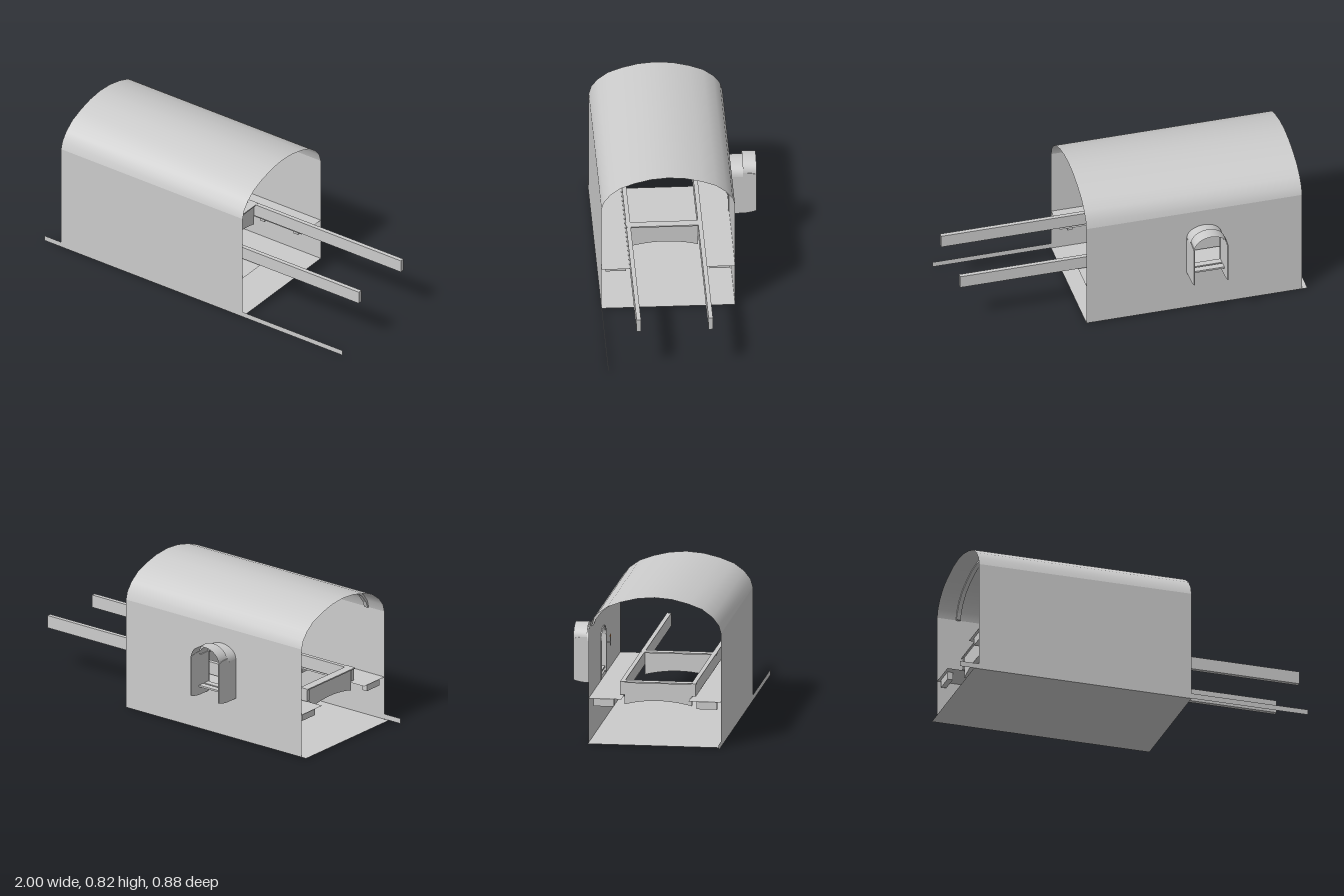
import * as THREE from 'three';

const grey = new THREE.MeshStandardMaterial({ color: 0xcccccc, side: THREE.DoubleSide });
const flame = new THREE.MeshStandardMaterial({ color: 0xd08030 });

export function createModel() {
  const model = new THREE.Group();

  function add(name, geometry, material = grey) {
    const mesh = new THREE.Mesh(geometry, material);
    mesh.name = name;
    model.add(mesh);
    return mesh;
  }

  // box given by its limits on each axis
  function box(name, x0, x1, y0, y1, z0, z1) {
    const g = new THREE.BoxGeometry(x1 - x0, y1 - y0, z1 - z0);
    return add(name, g.translate((x0 + x1) / 2, (y0 + y1) / 2, (z0 + z1) / 2));
  }

  // open sheet: a profile of [a, y] points swept between two positions
  function sheet(name, profile, from, to, place) {
    const g = new THREE.PlaneGeometry(1, 1, 1, profile.length - 1);
    const pos = g.attributes.position;
    profile.forEach(([a, y], i) => {
      pos.setXYZ(2 * i, ...place(a, y, from));
      pos.setXYZ(2 * i + 1, ...place(a, y, to));
    });
    g.computeVertexNormals();
    return add(name, g);
  }
  const alongX = (z, y, x) => [x, y, z];
  const alongZ = (x, y, z) => [x, y, z];

  // solid from a [z, y] outline, extruded along x
  function slab(name, shape, x0, x1) {
    const g = new THREE.ExtrudeGeometry(shape, { depth: x1 - x0, bevelEnabled: false, curveSegments: 10 });
    return add(name, g.rotateY(Math.PI / 2).translate(x0, 0, 0));
  }
  const outline = (pts) => new THREE.Shape(pts.map(([z, y]) => new THREE.Vector2(-z, y)));

  const X0 = -0.89, X1 = 0.33, BACK = -0.295, FRONT = 0.435, MID = 0.07;

  // barrel vault, as half widths and heights
  const half = [[0.365, 0.63], [0.352, 0.675], [0.317, 0.72], [0.26, 0.762], [0.185, 0.79], [0.095, 0.812]];
  const arc = [...half, [0, 0.82], ...half.map(([a, y]) => [-a, y]).reverse()];
  const vault = arc.map(([a, y]) => [MID + a, y]);
  sheet('roofVault', vault, X0, X1, alongX);

  // roof ribs under the vault
  const ribOuter = arc.map(([a, y]) => [MID + a * 0.996, y - 0.002]);
  const ribInner = arc.map(([a, y]) => [MID + a * 0.97, y <= 0.63 ? y : y - 0.011]).reverse();
  for (const x of [-0.77, 0.12]) slab('roofRib', outline([...ribOuter, ...ribInner]), x - 0.012, x + 0.012);

  // floor, front wall and the long strip at its foot
  add('floor', new THREE.PlaneGeometry(X1 + 0.92, FRONT - BACK).rotateX(-Math.PI / 2)
    .translate((X1 - 0.92) / 2, 0, MID));
  add('frontWall', new THREE.PlaneGeometry(X1 - X0, 0.63).translate((X0 + X1) / 2, 0.315, FRONT));
  add('footStrip', new THREE.PlaneGeometry(2, 0.03).translate(0, 0.015, FRONT + 0.001));

  // back wall with an arched opening
  const WX = -0.335;
  const wall = new THREE.Shape();
  wall.moveTo(X0, 0).lineTo(X1, 0).lineTo(X1, 0.63).lineTo(X0, 0.63).closePath();
  const hole = new THREE.Path();
  hole.moveTo(WX - 0.09, 0.27).lineTo(WX - 0.09, 0.465);
  hole.absellipse(WX, 0.465, 0.09, 0.07, Math.PI, 0, true);
  hole.lineTo(WX + 0.09, 0.27).closePath();
  wall.holes.push(hole);
  add('backWall', new THREE.ShapeGeometry(wall, 16).translate(0, 0, BACK));

  // arched window bay: inner tunnel, raised hood, side cheeks and sill
  function arch(rx, ry, spring) {
    return Array.from({ length: 17 }, (_, i) => {
      const t = (Math.PI * i) / 16;
      return [WX + rx * Math.cos(t), spring + ry * Math.sin(t)];
    });
  }
  sheet('windowTunnel', arch(0.098, 0.07, 0.465), BACK + 0.006, -0.372, alongZ);
  sheet('windowHood', arch(0.095, 0.075, 0.48), -0.37, -0.445, alongZ);
  const cheek = new THREE.Shape();
  cheek.moveTo(0.295, 0.235).lineTo(0.37, 0.235).quadraticCurveTo(0.41, 0.237, 0.445, 0.25);
  cheek.lineTo(0.445, 0.48).quadraticCurveTo(0.41, 0.49, 0.37, 0.49).lineTo(0.37, 0.467);
  cheek.lineTo(0.295, 0.467).closePath();
  for (const s of [-1, 1]) {
    slab('windowCheek', cheek, WX + s * 0.095 - 0.003, WX + s * 0.095 + 0.003);
    box('windowJamb', WX + s * 0.095 - 0.006, WX + s * 0.095 + 0.006, 0.257, 0.47, BACK, BACK + 0.007);
  }
  for (const z of [-0.315, -0.36]) box('windowSill', WX - 0.094, WX + 0.094, 0.282, 0.292, z - 0.018, z + 0.018);

  // long shafts passing through the body
  for (const z of [-0.123, 0.27]) box('shaft', -0.8, 1, 0.255, 0.327, z - 0.012, z + 0.012);

  // arched cross bolsters with thin caps
  const bolster = new THREE.Shape();
  bolster.moveTo(-0.26, 0.2).quadraticCurveTo(-MID, 0.248, 0.11, 0.2);
  bolster.lineTo(0.11, 0.322).lineTo(-0.26, 0.322).closePath();
  for (const x of [-0.78, 0]) {
    slab('crossBolster', bolster, x - 0.015, x + 0.015);
    box('bolsterCap', x - 0.025, x + 0.025, 0.321, 0.328, -0.133, 0.284);
  }

  // side ledges with bearers below
  for (const s of [-1, 1]) {
    const inner = MID + s * 0.185, outer = MID + s * 0.365;
    sheet('ledge', [[inner, 0.247], [outer, 0.247]], X0, X1, alongX);
    for (let i = 0; i < 6; i++) {
      const x = -0.86 + i * 0.224, z = MID + s * 0.284;
      box('ledgeBearer', x - 0.015, x + 0.015, 0.202, 0.246, z - 0.056, z + 0.056);
    }
  }

  // candle on a small wall bracket
  const CX = -0.21, CZ = -0.273;
  box('candleArm', CX - 0.003, CX + 0.003, 0.415, 0.42, BACK, CZ);
  add('candle', new THREE.CylinderGeometry(0.003, 0.003, 0.05, 8).translate(CX, 0.423, CZ));
  add('candleFlame', new THREE.ConeGeometry(0.005, 0.018, 8).translate(CX, 0.457, CZ), flame);

  return model;
}
